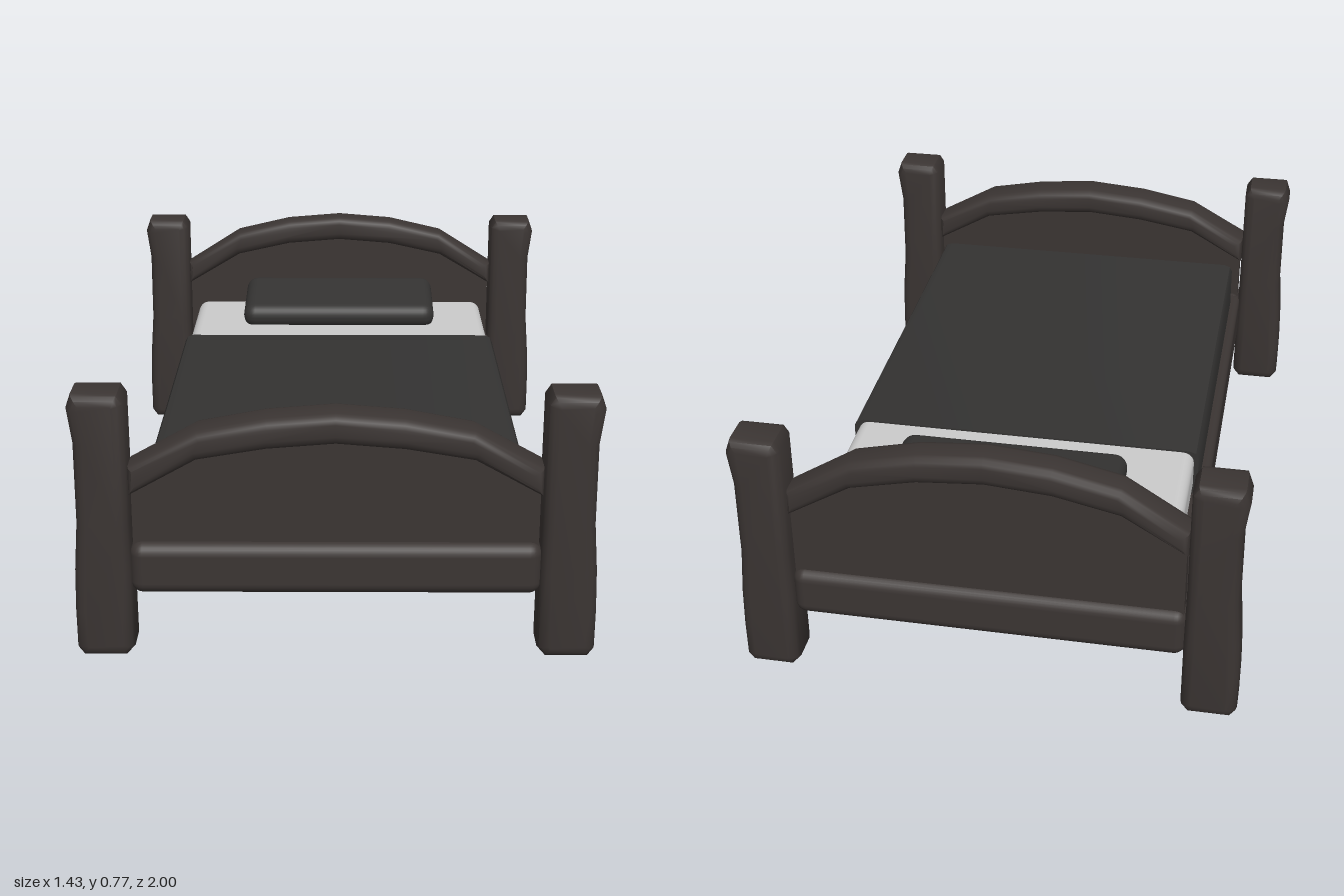
import * as THREE from 'three';
import { toCreasedNormals } from 'three/addons/utils/BufferGeometryUtils.js';
import { RoundedBoxGeometry } from 'three/addons/geometries/RoundedBoxGeometry.js';

const wood = new THREE.MeshStandardMaterial({ color: 0x3b3533 });
const cloth = new THREE.MeshStandardMaterial({ color: 0x343332 });
const sheet = new THREE.MeshStandardMaterial({ color: 0xcccccc });

// Front outline extruded between two depths with rounded edges of radius r.
function slab(name, points, z0, z1, r, material) {
  const shape = new THREE.Shape(points.map(([x, y]) => new THREE.Vector2(x, y)));
  let geometry = new THREE.ExtrudeGeometry(shape, {
    depth: z1 - z0 - 2 * r, bevelEnabled: r > 0, bevelSize: r, bevelOffset: -r,
    bevelThickness: r, bevelSegments: 3,
  });
  geometry.translate(0, 0, z0 + r);
  geometry = toCreasedNormals(geometry, 0.7);
  const mesh = new THREE.Mesh(geometry, material);
  mesh.name = name;
  return mesh;
}

function roundedBox(name, size, position, r, material) {
  const mesh = new THREE.Mesh(new RoundedBoxGeometry(...size, 3, r), material);
  mesh.name = name;
  mesh.position.set(...position);
  return mesh;
}

// Mirrors heights given from the centre outwards into a left-to-right curve.
function archLine(heights) {
  const xs = [0, 0.185, 0.37, 0.555];
  const half = heights.map((y, i) => [xs[i], y]);
  return [...half.slice(1).reverse().map(([x, y]) => [-x, y]), ...half];
}

// Arched end board: thin panel below a thick curved rail.
function endBoard(name, top, bottom, z0, z1) {
  const group = new THREE.Group();
  group.name = name;
  const upper = archLine(top), lower = archLine(bottom);
  group.add(slab(name + 'Rail', [...lower, ...upper.slice().reverse()], z0, z1, 0.025, wood));
  const panelTop = lower.map(([x, y]) => [x * 0.99, y + 0.03]).reverse();
  const mid = (z0 + z1) / 2;
  group.add(slab(name + 'Panel', [[-0.55, 0.3], [0.55, 0.3], ...panelTop],
    mid - 0.03, mid + 0.03, 0, wood));
  return group;
}

export function createModel() {
  const bed = new THREE.Group();
  bed.name = 'bed';

  // Four posts, slightly waisted on the outer side
  const outline = [
    [0.575, 0.005], [0.695, 0.005], [0.713, 0.03], [0.713, 0.14], [0.709, 0.26],
    [0.698, 0.4], [0.696, 0.63], [0.709, 0.73], [0.695, 0.77], [0.572, 0.77],
    [0.556, 0.745], [0.556, 0.4], [0.554, 0.25], [0.554, 0.03],
  ];
  for (const side of [1, -1]) {
    const points = side > 0 ? outline : outline.map(([x, y]) => [-x, y]).reverse();
    bed.add(slab('frontPost', points, 0.862, 1, 0.03, wood));
    bed.add(slab('backPost', points, -1, -0.862, 0.03, wood));
  }

  // Solid base with a rounded cross rail at each end
  bed.add(roundedBox('base', [1.12, 0.145, 1.8], [0, 0.264, 0], 0.02, wood));
  bed.add(roundedBox('footCrossRail', [1.12, 0.15, 0.125], [0, 0.264, 0.927], 0.035, wood));
  bed.add(roundedBox('headCrossRail', [1.12, 0.15, 0.105], [0, 0.264, -0.928], 0.035, wood));

  // Headboard and footboard
  bed.add(endBoard('footboard', [0.713, 0.698, 0.663, 0.56], [0.629, 0.614, 0.583, 0.48], 0.868, 0.99));
  bed.add(endBoard('headboard', [0.78, 0.765, 0.722, 0.605], [0.696, 0.681, 0.64, 0.53], -0.98, -0.875));

  // Mattress, blanket and tilted pillow
  bed.add(roundedBox('mattress', [1.03, 0.145, 1.69], [0, 0.409, 0.006], 0.035, sheet));
  bed.add(slab('blanket', [
    [-0.53, 0.335], [0.53, 0.335], [0.528, 0.465], [0.52, 0.48], [0.5, 0.487],
    [-0.5, 0.487], [-0.52, 0.48], [-0.528, 0.465],
  ], -0.395, 0.83, 0, cloth));
  const pillow = roundedBox('pillow', [0.67, 0.085, 0.3], [0, 0.524, -0.667], 0.04, cloth);
  pillow.rotation.x = 0.13;
  bed.add(pillow);

  return bed;
}
